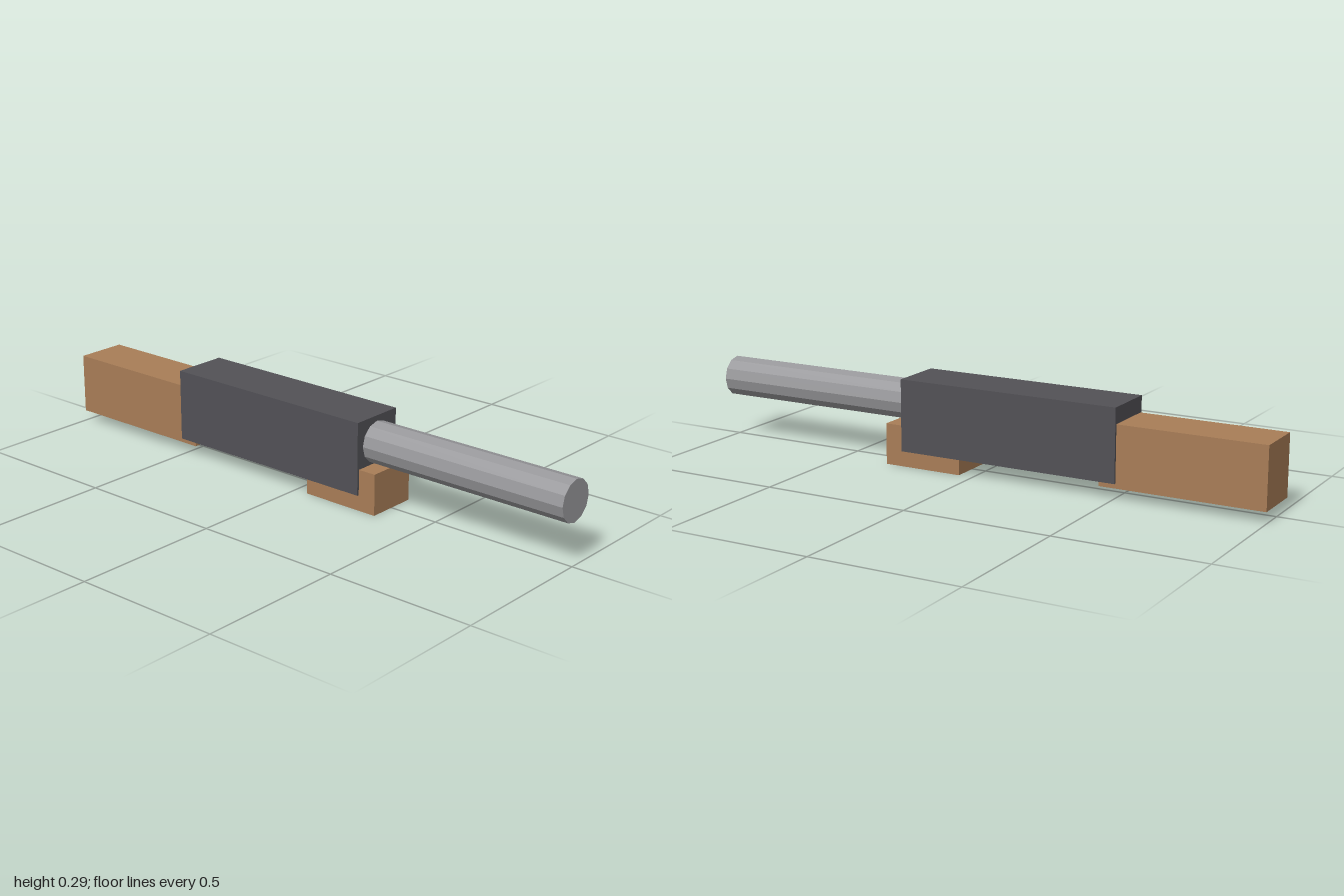
import * as THREE from 'three';

export function createModel() {
  const model = new THREE.Group();
  model.name = 'toyRifle';

  const material = (name, color) => {
    const m = new THREE.MeshStandardMaterial({ color, flatShading: true });
    m.name = name;
    return m;
  };
  const wood = material('wood', 0xa87d57);
  const darkMetal = material('darkMetal', 0x525156);
  const steel = material('steel', 0x98989b);

  // Box given by its x and y extents and its full depth, centred on z = 0
  const addBlock = (name, mat, x0, x1, y0, y1, depth) => {
    const mesh = new THREE.Mesh(new THREE.BoxGeometry(x1 - x0, y1 - y0, depth), mat);
    mesh.name = name;
    mesh.position.set((x0 + x1) / 2, (y0 + y1) / 2, 0);
    model.add(mesh);
  };

  addBlock('stock', wood, -1, -0.45, 0.037, 0.241, 0.173);
  addBlock('receiver', darkMetal, -0.508, 0.264, 0.053, 0.295, 0.188);
  addBlock('foregrip', wood, 0.05, 0.327, 0, 0.138, 0.173);

  // Twelve-sided barrel along x, seated inside the receiver
  const start = 0.2;
  const geometry = new THREE.CylinderGeometry(0.0685, 0.0685, 1 - start, 12);
  geometry.rotateZ(-Math.PI / 2);
  const barrel = new THREE.Mesh(geometry, steel);
  barrel.name = 'barrel';
  barrel.position.set((1 + start) / 2, 0.2085, 0);
  model.add(barrel);

  return model;
}
